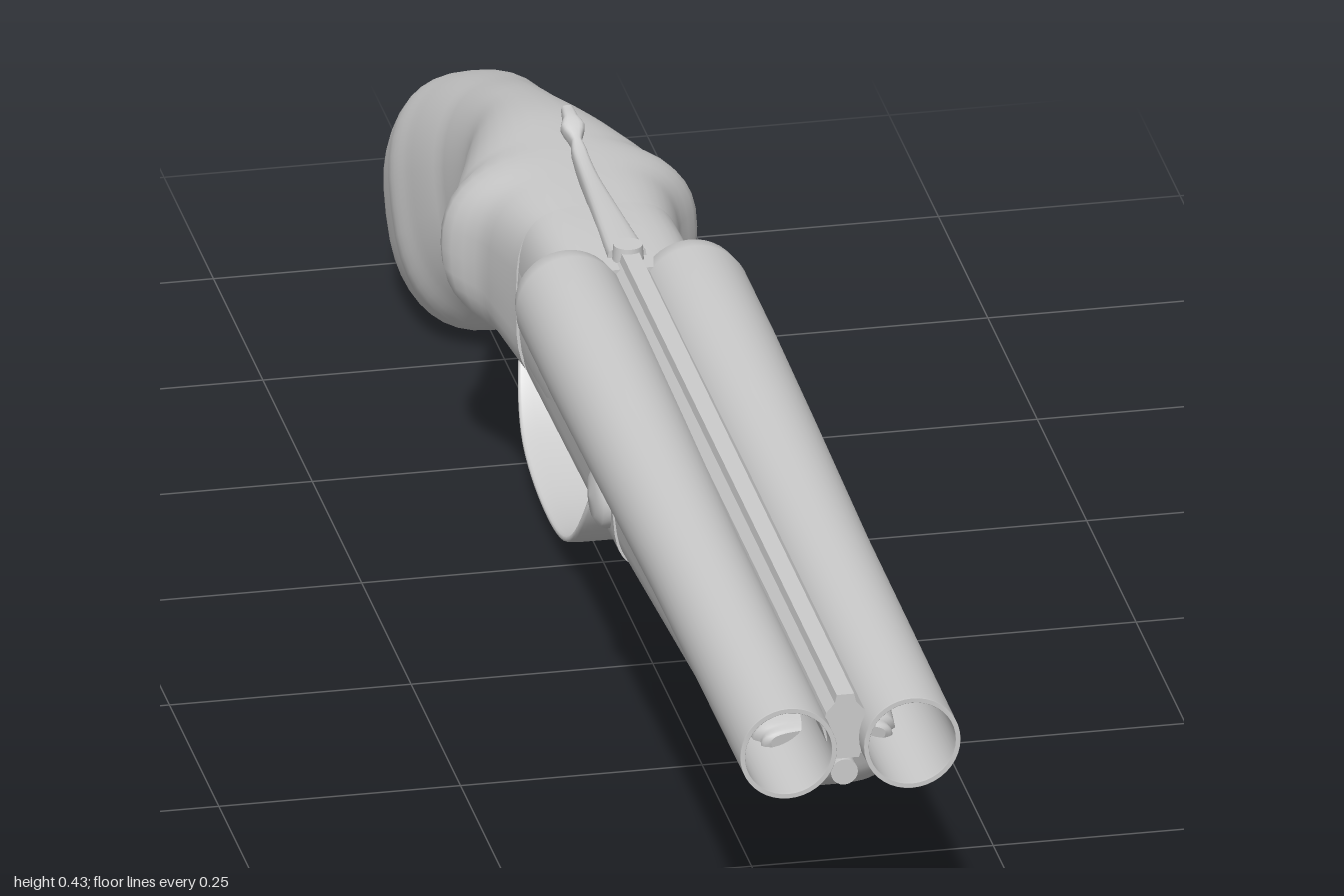
import * as THREE from 'three';

const mat = new THREE.MeshStandardMaterial({ color: 0xcccccc, roughness: 0.6 });

// Loft of superelliptic sections: [zTop, yTop, zBottom, yBottom, halfWidth, squareness]
function loft(sections, taper = 0, sides = 40) {
  const pos = [], idx = [];
  const ring = ([zt, yt, zb, yb, w, n]) => {
    for (let i = 0; i < sides; i++) {
      const a = (i / sides) * Math.PI * 2;
      const c = Math.cos(a), s = Math.sin(a);
      const u = Math.sign(c) * Math.abs(c) ** (2 / n);
      const v = Math.sign(s) * Math.abs(s) ** (2 / n);
      pos.push(w * u * (1 + taper * v), (yt + yb) / 2 + v * (yt - yb) / 2, (zt + zb) / 2 + v * (zt - zb) / 2);
    }
  };
  sections.forEach(ring);
  for (let j = 0; j < sections.length - 1; j++) {
    for (let i = 0; i < sides; i++) {
      const a = j * sides + i, b = j * sides + (i + 1) % sides;
      idx.push(a, a + sides, b + sides, a, b + sides, b);
    }
  }
  // Separate cap vertices keep the end edges sharp
  [sections[0], sections[sections.length - 1]].forEach((s, end) => {
    const start = pos.length / 3;
    ring(s);
    pos.push(0, (s[1] + s[3]) / 2, (s[0] + s[2]) / 2);
    for (let i = 0; i < sides; i++) {
      const a = start + i, b = start + (i + 1) % sides;
      idx.push(start + sides, end ? b : a, end ? a : b);
    }
  });
  const g = new THREE.BufferGeometry();
  g.setAttribute('position', new THREE.Float32BufferAttribute(pos, 3));
  g.setIndex(idx);
  g.computeVertexNormals();
  return g;
}

// Smoothly resample a few key sections
function smooth(keys, count) {
  const curve = f => new THREE.CatmullRomCurve3(keys.map(k => new THREE.Vector3(...f(k))));
  const top = curve(k => [0, k[1], k[0]]);
  const bottom = curve(k => [0, k[3], k[2]]);
  const size = curve(k => [k[4], k[5], 0]);
  return Array.from({ length: count + 1 }, (_, i) => {
    const t = i / count, a = top.getPoint(t), b = bottom.getPoint(t), s = size.getPoint(t);
    return [a.z, a.y, b.z, b.y, s.x, s.y];
  });
}

// Flat band following a side path of [z, y, halfWidth]
function band(points, thick, count = 48) {
  const curve = new THREE.CatmullRomCurve3(points.map(([z, y, w]) => new THREE.Vector3(w, y, z)));
  const sections = [];
  for (let i = 0; i <= count; i++) {
    const p = curve.getPoint(i / count), d = curve.getTangent(i / count);
    const l = Math.hypot(d.y, d.z), nz = d.y / l * thick, ny = -d.z / l * thick;
    sections.push([p.z + nz, p.y + ny, p.z - nz, p.y - ny, p.x, 5]);
  }
  return loft(sections, 0, 20);
}

export function createModel() {
  const model = new THREE.Group();
  const add = (name, geo, x = 0, y = 0, z = 0) => {
    const m = new THREE.Mesh(geo, mat);
    m.name = name;
    m.position.set(x, y, z);
    model.add(m);
    return m;
  };

  // Twin hollow barrels with rounded breech ends
  const profile = [
    [0, -0.148], [0.03, -0.147], [0.044, -0.14], [0.053, -0.125], [0.057, -0.1], [0.057, 0.05],
    [0.055, 0.25], [0.051, 0.55], [0.05, 0.997], [0.05, 1], [0.0497, 1],
    [0.0453, 1], [0.045, 1], [0.045, 0.995], [0.045, -0.045], [0.045, -0.05], [0, -0.05],
  ].map(p => new THREE.Vector2(...p));
  const barrel = new THREE.LatheGeometry(profile, 40).rotateX(Math.PI / 2);
  for (const s of [1, -1]) add(s > 0 ? 'leftBarrel' : 'rightBarrel', barrel, s * 0.064, 0.362, 0);

  // Rib between the barrels, with a narrow raised sighting strip
  const ribShape = new THREE.Shape([
    [-0.014, 0.34], [0.014, 0.34], [0.024, 0.375], [0.02, 0.392], [0.011, 0.402],
    [0.009, 0.411], [-0.009, 0.411], [-0.011, 0.402], [-0.02, 0.392], [-0.024, 0.375],
  ].map(p => new THREE.Vector2(...p)));
  add('barrelRib', new THREE.ExtrudeGeometry(ribShape, { depth: 1.1, bevelEnabled: false }), 0, 0, -0.125);
  add('lowerRod', new THREE.CylinderGeometry(0.014, 0.014, 0.6, 20).rotateX(Math.PI / 2), 0, 0.322, 0.67);

  // Fore-end with a rounded nose
  const nose = [
    [0.89, 0.335, 0.885, 0.3, 0.058, 3], [0.885, 0.337, 0.872, 0.272, 0.066, 3.5],
    [0.872, 0.34, 0.85, 0.253, 0.071, 4], [0.84, 0.345, 0.82, 0.243, 0.074, 4],
  ];
  add('foreEnd', loft([...smooth(nose, 12), [0.2, 0.355, 0.2, 0.204, 0.082, 4.5]], 0.1));

  // Action body and raised breech block behind the barrels
  add('actionBody', loft([[0.198, 0.355, 0.198, 0.203, 0.083, 4.5], [-0.268, 0.36, -0.268, 0.19, 0.083, 4.5]], 0.07));
  add('breechBlock', loft([
    [-0.1, 0.4, -0.1, 0.195, 0.083, 3.6], [-0.2, 0.4, -0.2, 0.192, 0.084, 3.6],
    [-0.268, 0.396, -0.268, 0.19, 0.084, 3.6],
  ], 0.02));

  // Stock flowing down into a swollen pistol grip
  add('stock', loft(smooth([
    [-0.272, 0.394, -0.272, 0.189, 0.086, 3.4],
    [-0.36, 0.39, -0.36, 0.192, 0.102, 2.9],
    [-0.46, 0.383, -0.44, 0.193, 0.119, 2.3],
    [-0.56, 0.371, -0.53, 0.183, 0.088, 2.3],
    [-0.68, 0.34, -0.605, 0.16, 0.063, 2.3],
    [-0.78, 0.305, -0.68, 0.115, 0.07, 2.3],
    [-0.88, 0.268, -0.735, 0.066, 0.087, 2.4],
    [-0.94, 0.238, -0.785, 0.022, 0.094, 2.5],
    [-0.982, 0.2, -0.84, 0.004, 0.09, 2.5],
    [-1, 0.152, -0.895, 0.02, 0.064, 2.4],
    [-0.992, 0.115, -0.94, 0.062, 0.02, 2.2],
  ], 60)));

  // Trigger guard and the two triggers
  add('triggerGuard', band([
    [-0.06, 0.19, 0.016], [-0.12, 0.184, 0.02], [-0.145, 0.16, 0.028], [-0.146, 0.12, 0.038],
    [-0.2, 0.057, 0.046], [-0.32, 0.032, 0.046], [-0.45, 0.058, 0.044], [-0.515, 0.11, 0.034],
    [-0.53, 0.15, 0.026], [-0.565, 0.167, 0.022], [-0.61, 0.156, 0.02], [-0.66, 0.122, 0.014],
  ], 0.004, 80));
  const trigger = band([
    [-0.005, 0.2, 0.011], [-0.03, 0.165, 0.011], [-0.034, 0.125, 0.011],
    [-0.012, 0.088, 0.01], [0.045, 0.076, 0.007],
  ], 0.006, 28);
  add('frontTrigger', trigger, 0, 0, -0.295);
  add('rearTrigger', trigger, 0, -0.003, -0.395);
  add('triggerPlate', new THREE.BoxGeometry(0.05, 0.012, 0.26), 0, 0.19, -0.34);

  // Opening lever on top with its pivot button
  add('topLever', loft(smooth([
    [-0.13, 0.41, -0.13, 0.39, 0.02, 3], [-0.22, 0.409, -0.22, 0.388, 0.015, 3],
    [-0.33, 0.409, -0.33, 0.385, 0.009, 3], [-0.375, 0.415, -0.38, 0.398, 0.008, 3],
    [-0.41, 0.43, -0.418, 0.413, 0.008, 3], [-0.432, 0.432, -0.437, 0.42, 0.006, 3],
  ], 28), 0, 20));
  add('leverPivot', new THREE.CylinderGeometry(0.015, 0.017, 0.03, 24), 0, 0.401, -0.125);

  // Hinge bosses and small cross pins on both sides
  const boss = new THREE.LatheGeometry([
    [0.034, -0.03], [0.034, 0], [0.032, 0.006], [0.022, 0.012], [0, 0.015],
  ].map(p => new THREE.Vector2(...p)), 28).rotateZ(-Math.PI / 2);
  for (const s of [1, -1]) {
    const hinge = add(s > 0 ? 'leftHingeBoss' : 'rightHingeBoss', boss, s * 0.083, 0.27, 0.155);
    if (s < 0) hinge.rotation.y = Math.PI;
  }
  add('crossPin', new THREE.CylinderGeometry(0.012, 0.012, 0.176, 20).rotateZ(Math.PI / 2), 0, 0.285, -0.115);
  return model;
}
